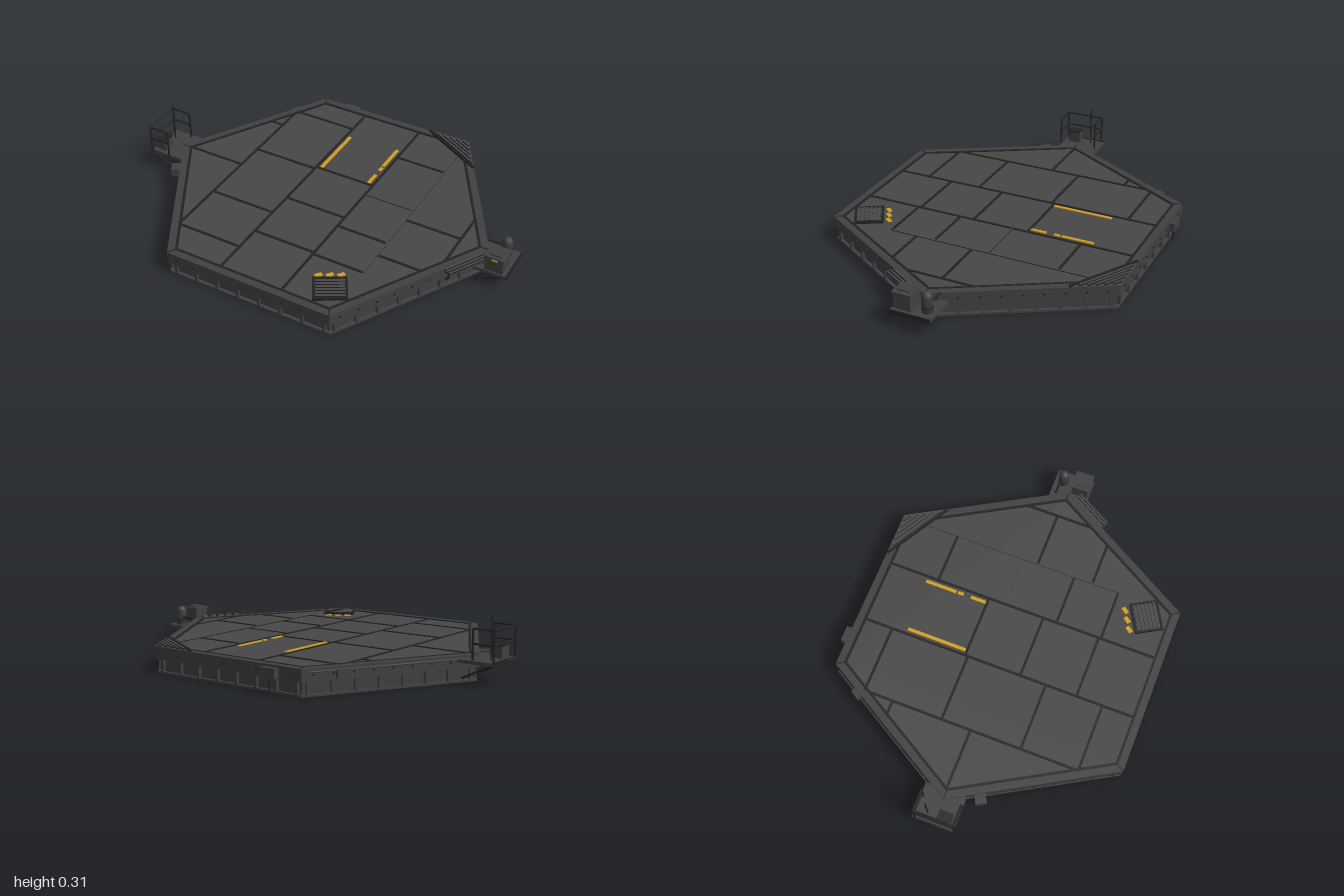
import * as THREE from 'three';

const mat = (name, color) => {
  const m = new THREE.MeshStandardMaterial({ color });
  m.name = name;
  return m;
};

export function createModel() {
  const deckMat = mat('deckGrey', 0x474747);
  const frameMat = mat('frameGrey', 0x404040);
  const darkMat = mat('darkGrey', 0x222222);
  const underMat = mat('undersideGrey', 0x393939);
  const yellowMat = mat('markingYellow', 0xd29e20);

  const model = new THREE.Group();
  model.name = 'hexPlatform';
  const hull = new THREE.Group();
  hull.name = 'hull';
  hull.position.z = 0.01;
  model.add(hull);

  const add = (parent, name, geo, material, x = 0, y = 0, z = 0, ry = 0) => {
    const m = new THREE.Mesh(geo, material);
    m.name = name;
    m.position.set(x, y, z);
    m.rotation.y = ry;
    parent.add(m);
    return m;
  };
  const box = (parent, name, material, w, h, d, x, y, z, ry = 0) =>
    add(parent, name, new THREE.BoxGeometry(w, h, d), material, x, y, z, ry);
  const group = (name, parent = model) => {
    const g = new THREE.Group();
    g.name = name;
    parent.add(g);
    return g;
  };
  // Round bar between two points
  const bar = (parent, name, a, b, r = 0.005, material = darkMat) => {
    const p = new THREE.Vector3(...a), q = new THREE.Vector3(...b);
    const m = add(parent, name, new THREE.CylinderGeometry(r, r, p.distanceTo(q), 8), material);
    m.position.copy(p).add(q).multiplyScalar(0.5);
    m.quaternion.setFromUnitVectors(new THREE.Vector3(0, 1, 0), q.sub(p).normalize());
    return m;
  };
  // Flat slab from an outline in plan
  const slab = (parent, name, material, shape, y0, y1) => {
    const geo = new THREE.ExtrudeGeometry(shape, { depth: y1 - y0, bevelEnabled: false });
    geo.rotateX(-Math.PI / 2);
    return add(parent, name, geo, material, 0, y0, 0);
  };
  const hexPoints = r => Array.from({ length: 6 }, (_, i) =>
    new THREE.Vector2(r * Math.cos(i * Math.PI / 3), r * Math.sin(i * Math.PI / 3)));
  // Hexagonal slab, optionally hollow
  const hex = (name, material, rOut, rIn, y0, y1) => {
    const shape = new THREE.Shape(hexPoints(rOut));
    if (rIn) shape.holes.push(new THREE.Path(hexPoints(rIn)));
    return slab(hull, name, material, shape, y0, y1);
  };

  // Hull: hollow skirt, rim and deck slab
  hex('baseFlange', frameMat, 0.86, 0.825, 0, 0.01);
  hex('baseWall', frameMat, 0.842, 0.825, 0.01, 0.067);
  hex('rim', frameMat, 0.87, 0.82, 0.067, 0.127);
  hex('deck', deckMat, 0.825, 0, 0.075, 0.124);
  hex('underside', underMat, 0.825, 0, 0.065, 0.075);
  hex('rimInnerSeam', darkMat, 0.829, 0.814, 0.12, 0.1285);
  for (let i = 0; i < 6; i++) {
    const a = i * Math.PI / 3;
    box(hull, 'rimMitre', darkMat, 0.045, 0.003, 0.006, 0.845 * Math.cos(a), 0.1265, 0.845 * Math.sin(a), -a);
  }
  for (const z of [-0.57, -0.27, 0.27, 0.57])
    box(hull, 'underBeam', frameMat, 2 * (0.81 - Math.abs(z) / 1.732), 0.05, 0.03, 0, 0.041, z);

  // Six sides with ribs and bolts; local +z points outward
  const apothem = 0.87 * Math.sqrt(3) / 2;
  const sides = [];
  for (let k = 0; k < 6; k++) {
    const s = group('side', hull);
    s.rotation.y = k * Math.PI / 3;
    sides.push(s);
    for (let i = 0; i < 8; i++)
      box(s, 'skirtRib', frameMat, 0.014, 0.057, 0.018, -0.399 + i * 0.114, 0.0385, apothem - 0.018);
    for (let i = 0; i < 9; i++) {
      const bolt = add(s, 'rimBolt', new THREE.CylinderGeometry(0.005, 0.005, 0.006, 8), darkMat,
        -0.38 + i * 0.095, 0.098, apothem + 0.002);
      bolt.rotation.x = Math.PI / 2;
    }
  }

  // Slats and ridges are grey on top and dark on their flanks
  const slatMats = [darkMat, darkMat, deckMat, darkMat, darkMat, darkMat];

  // Deck seams: lengthwise [x, z0, z1] and crosswise [z, x0, x1]
  for (const [x, z0, z1] of [[-0.51, -0.54, 0.56], [-0.163, -0.7, 0.715], [0.163, -0.7, 0.715],
    [0.72, -0.17, 0.18]])
    box(model, 'deckSeam', darkMat, 0.013, 0.005, z1 - z0, x, 0.125, (z0 + z1) / 2);
  for (const [z, x0, x1] of [[-0.555, -0.51, -0.163], [-0.147, -0.51, -0.163], [0.265, -0.51, -0.163],
    [0.56, -0.51, -0.163], [-0.405, -0.575, -0.51], [0.005, -0.81, -0.51], [-0.163, -0.163, 0.163],
    [0.13, -0.163, 0.163], [0.425, -0.163, 0.163], [-0.44, 0.163, 0.425], [0.2, 0.163, 0.425],
    [0.436, 0.163, 0.425], [0.0, 0.43, 0.72], [0.297, 0.43, 0.65]])
    box(model, 'deckSeam', darkMat, x1 - x0, 0.005, 0.013, (x0 + x1) / 2, 0.125, z);
  box(model, 'panelRidge', slatMats, 0.008, 0.005, 1.04, 0.428, 0.1255, -0.085);
  box(model, 'panelRidge', slatMats, 0.26, 0.005, 0.008, 0.295, 0.1255, -0.083);
  box(model, 'deckSeam', darkMat, 0.006, 0.005, 0.14, 0.428, 0.125, 0.365);

  // Yellow guide stripes, broken on one side
  for (const [x, z0, z1] of [[-0.137, -0.48, -0.17], [0.135, -0.495, -0.33],
    [0.135, -0.32, -0.29], [0.135, -0.25, -0.17]])
    box(model, 'guideStripe', yellowMat, 0.017, 0.005, z1 - z0, x, 0.126, (z0 + z1) / 2);

  // Turned hatch with slats and hazard dashes
  const hatch = group('hatch');
  hatch.position.set(0.352, 0, 0.61);
  hatch.rotation.y = Math.PI / 6;
  box(hatch, 'hatchBase', deckMat, 0.155, 0.008, 0.14, 0, 0.127, 0);
  for (const s of [-1, 1]) {
    box(hatch, 'hatchFrame', darkMat, 0.16, 0.016, 0.012, 0, 0.13, s * 0.066);
    box(hatch, 'hatchFrame', darkMat, 0.012, 0.016, 0.144, s * 0.074, 0.13, 0);
  }
  for (let i = 0; i < 6; i++)
    box(hatch, 'hatchSlat', slatMats, 0.14, 0.008, 0.014, 0, 0.134, -0.05 + i * 0.02);
  for (let i = 0; i < 3; i++)
    box(hatch, 'hazardDash', yellowMat, 0.036, 0.005, 0.021, -0.052 + i * 0.052, 0.126, -0.097, 0.4);

  // Slatted triangular corner vent at the back left
  const vent = group('cornerVent');
  vent.position.set(0.435, 0, -0.743);
  vent.rotation.y = -Math.PI / 6;
  const corner = new THREE.Shape([[0, 0], [-0.194, -0.112], [0.194, -0.112]].map(p => new THREE.Vector2(...p)));
  slab(vent, 'ventFloor', deckMat, corner, 0.122, 0.1295);
  box(vent, 'ventBorder', darkMat, 0.39, 0.014, 0.012, 0, 0.13, 0.116);
  for (let i = 0; i < 5; i++) {
    const d = 0.022 + i * 0.019;
    box(vent, 'ventSlat', slatMats, 2 * 1.732 * (d - 0.008), 0.01, 0.012, 0, 0.132, d);
  }

  // Railed lookout on the right end
  const lookout = group('lookout');
  box(lookout, 'lookoutFloor', frameMat, 0.18, 0.016, 0.21, -0.91, 0.106, 0.005);
  box(lookout, 'floorEdge', darkMat, 0.006, 0.022, 0.21, -0.997, 0.106, 0.005);
  const xo = -0.994, xi = -0.888, zb = -0.085, zf = 0.115;
  for (const z of [zb, zf]) {
    for (const x of [xo, xi]) bar(lookout, 'railPost', [x, 0.11, z], [x, 0.258, z]);
    for (const y of [0.19, 0.258]) bar(lookout, 'sideRail', [xo, y, z], [xi, y, z]);
    bar(lookout, 'lookoutStrut', [-0.98, 0.098, z * 0.95], [-0.83, 0.025, z * 0.95]);
  }
  for (const y of [0.19, 0.258]) bar(lookout, 'endRail', [xo, y, zb], [xo, y, zf]);
  bar(lookout, 'mast', [-0.955, 0.11, -0.035], [-0.955, 0.315, -0.035], 0.004);
  box(lookout, 'controlBox', frameMat, 0.048, 0.058, 0.066, -0.953, 0.143, 0.055);
  box(lookout, 'controlBoxLid', darkMat, 0.052, 0.006, 0.07, -0.953, 0.173, 0.055);

  // Equipment shelf on the left end: cabinet and tank
  const shelf = group('equipmentShelf');
  box(shelf, 'shelfFloor', frameMat, 0.17, 0.016, 0.2, 0.91, 0.082, 0.01);
  box(shelf, 'shelfEdge', darkMat, 0.006, 0.022, 0.2, 0.996, 0.082, 0.01);
  for (const z of [-0.072, 0.1])
    bar(shelf, 'shelfStrut', [0.98, 0.074, z], [0.84, 0.008, z]);
  box(shelf, 'cabinet', frameMat, 0.09, 0.08, 0.086, 0.93, 0.128, 0.06);
  box(shelf, 'cabinetLid', frameMat, 0.1, 0.007, 0.096, 0.93, 0.17, 0.06);
  box(shelf, 'cabinetCap', frameMat, 0.055, 0.008, 0.06, 0.93, 0.177, 0.06);
  box(shelf, 'cabinetLabel', yellowMat, 0.03, 0.009, 0.004, 0.932, 0.157, 0.104);
  const tankProfile = [[0, 0.09], [0.026, 0.09], [0.026, 0.165], [0.022, 0.18], [0.012, 0.188], [0, 0.19]];
  add(shelf, 'tank', new THREE.LatheGeometry(tankProfile.map(p => new THREE.Vector2(...p)), 20), frameMat, 0.935, 0, -0.045);
  add(shelf, 'tankBand', new THREE.CylinderGeometry(0.028, 0.028, 0.006, 20), darkMat, 0.935, 0.115, -0.045);
  bar(shelf, 'tankPipe', [0.935, 0.13, -0.055], [0.84, 0.13, -0.055], 0.006);

  // Side step with lengthwise treads beside the equipment shelf
  const step = group('sideStep', sides[1]);
  box(step, 'stepPlate', frameMat, 0.22, 0.008, 0.05, 0.285, 0.116, apothem + 0.02);
  for (let i = 0; i < 3; i++)
    box(step, 'stepTread', slatMats, 0.22, 0.008, 0.01, 0.285, 0.124, apothem + 0.004 + i * 0.017);
  for (const x of [0.18, 0.37])
    bar(step, 'stepStrut', [x, 0.112, apothem + 0.04], [x + 0.02, 0.045, apothem - 0.01]);

  // Junction boxes and pipes on the other sides
  box(sides[5], 'junctionBox', frameMat, 0.055, 0.045, 0.05, -0.26, 0.092, apothem + 0.022);
  box(sides[4], 'pipeBox', frameMat, 0.05, 0.04, 0.025, -0.25, 0.096, apothem + 0.012);
  bar(sides[4], 'sidePipe', [-0.4, 0.112, apothem + 0.01], [0.34, 0.112, apothem + 0.01], 0.004, frameMat);
  box(sides[3], 'backBox', frameMat, 0.08, 0.045, 0.032, 0.27, 0.094, apothem + 0.014);
  bar(sides[3], 'drainPipe', [0.27, 0.08, apothem + 0.012], [0.27, 0.004, apothem + 0.012], 0.004);

  return model;
}
